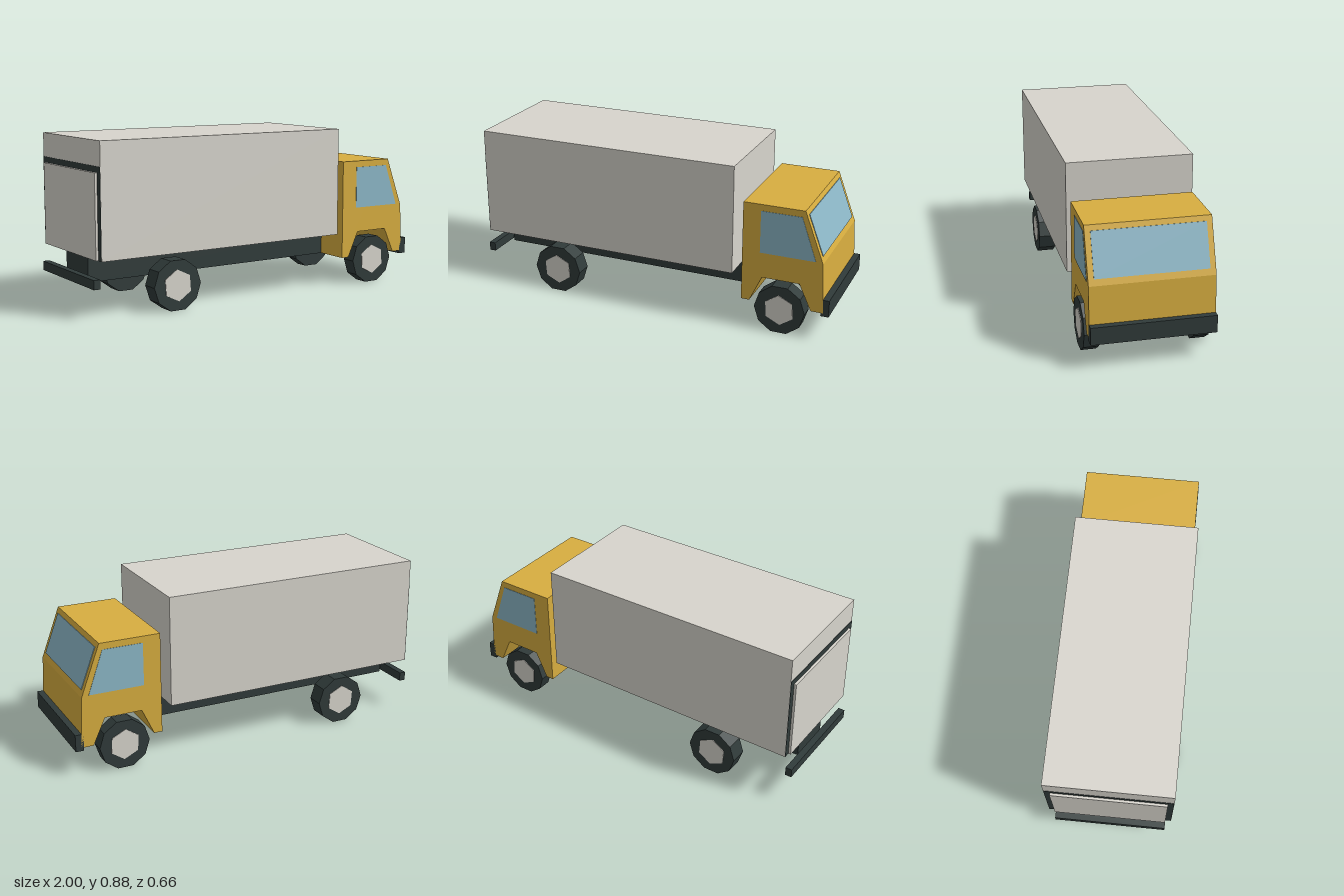
import * as THREE from 'three';

const mat = (name, color) => {
  const m = new THREE.MeshStandardMaterial({ color });
  m.name = name;
  return m;
};

export function createModel() {
  const truck = new THREE.Group();
  truck.name = 'truck';
  const yellow = mat('cab yellow', 0xd8ae40);
  const grey = mat('cargo grey', 0xd8d5cd);
  const dark = mat('chassis dark', 0x303b3a);
  const glass = mat('window glass', 0x8db8c8);

  const add = (name, geometry, material, parent = truck) => {
    const mesh = new THREE.Mesh(geometry, material);
    mesh.name = name;
    parent.add(mesh);
    return mesh;
  };
  // Box given by its extents, symmetric in z
  const box = (name, x0, x1, y0, y1, halfZ, material) => {
    const mesh = add(name, new THREE.BoxGeometry(x1 - x0, y1 - y0, halfZ * 2), material);
    mesh.position.set((x0 + x1) / 2, (y0 + y1) / 2, 0);
    return mesh;
  };
  // Side profile extruded in z, centred on z = 0
  const slab = (points, depth) => {
    const shape = new THREE.Shape(points.map(([x, y]) => new THREE.Vector2(x, y)));
    return new THREE.ExtrudeGeometry(shape, { depth, bevelEnabled: false }).translate(0, 0, -depth / 2);
  };

  // Chassis, bumpers and cargo body
  box('chassis', -0.945, 0.54, 0.155, 0.295, 0.125, dark);
  box('frontBumper', 0.957, 1, 0.138, 0.229, 0.314, dark);
  box('rearBumper', -1, -0.965, 0.155, 0.203, 0.298, dark);
  box('cargoBox', -0.97, 0.482, 0.295, 0.88, 0.328, grey);
  box('rearDoorFrame', -0.972, -0.966, 0.296, 0.755, 0.327, dark);
  box('rearDoor', -0.985, -0.97, 0.296, 0.725, 0.296, grey);

  // Cab with wheel arches cut through its lower edge
  add('cab', slab([
    [0.53, 0.155], [0.575, 0.155], [0.64, 0.295], [0.84, 0.295], [0.905, 0.155],
    [0.97, 0.155], [0.957, 0.424], [0.855, 0.695], [0.53, 0.695],
  ], 0.628), yellow);

  // Windscreen lying on the sloped front face
  const slope = new THREE.Vector2(0.957 - 0.855, 0.424 - 0.695);
  const onSlope = (y) => 0.855 + (slope.x * (y - 0.695)) / slope.y;
  add('windscreen', slab([
    [onSlope(0.455) - 0.002, 0.455], [onSlope(0.455) + 0.003, 0.456],
    [onSlope(0.668) + 0.003, 0.669], [onSlope(0.668) - 0.002, 0.668],
  ], 0.57), glass);

  // Side windows
  for (const side of [1, -1]) {
    const pane = add(side > 0 ? 'leftWindow' : 'rightWindow',
      slab([[0.625, 0.432], [0.92, 0.432], [0.84, 0.66], [0.625, 0.66]], 0.004), glass);
    pane.position.z = side * 0.314;
  }

  // Ten-sided tyres with six-sided hubs on their outer faces
  const disc = (radius, width, sides, turn) =>
    new THREE.CylinderGeometry(radius, radius, width, sides).toNonIndexed()
      .rotateX(Math.PI / 2).rotateZ(turn);
  for (const [label, x, inner, outer] of [['front', 0.74, 0.242, 0.32], ['rear', -0.545, 0.232, 0.327]]) {
    for (const side of [1, -1]) {
      const wheel = new THREE.Group();
      wheel.name = label + (side > 0 ? 'LeftWheel' : 'RightWheel');
      wheel.position.set(x, 0.13, side * (inner + outer) / 2);
      const tyreGeometry = disc(0.136, outer - inner, 10, Math.PI / 2);
      tyreGeometry.computeVertexNormals();
      add('tyre', tyreGeometry, dark, wheel);
      const hubGeometry = disc(0.083, 0.006, 6, 0.07);
      hubGeometry.computeVertexNormals();
      add('hub', hubGeometry, grey, wheel).position.z = side * (outer - inner) / 2;
      truck.add(wheel);
    }
  }
  return truck;
}
